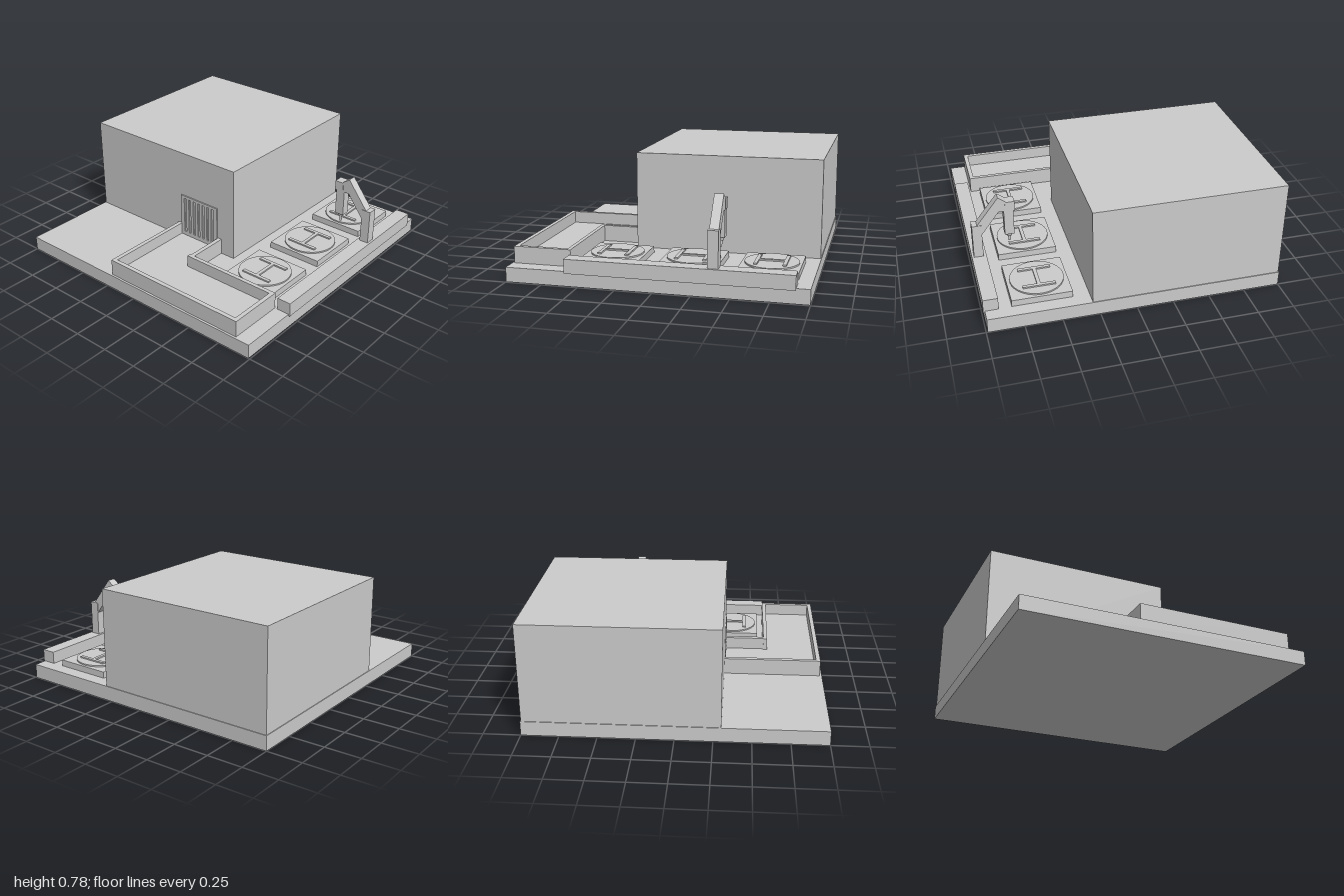
import * as THREE from 'three';

const material = new THREE.MeshStandardMaterial({ color: 0xcccccc, flatShading: true });

export function createModel() {
  const model = new THREE.Group();

  function add(name, geometry, parent = model) {
    const mesh = new THREE.Mesh(geometry, material);
    mesh.name = name;
    parent.add(mesh);
    return mesh;
  }

  // Box given by its min and max on each axis
  function box(name, x0, x1, y0, y1, z0, z1, parent = model) {
    const mesh = add(name, new THREE.BoxGeometry(x1 - x0, y1 - y0, z1 - z0), parent);
    mesh.position.set((x0 + x1) / 2, (y0 + y1) / 2, (z0 + z1) / 2);
    return mesh;
  }

  const shapeOf = (points) => new THREE.Shape(points.map(([x, y]) => new THREE.Vector2(x, y)));

  // Ground slab and main building
  box('base', -1, 0.99, 0, 0.1, -1, 1);
  box('building', -0.995, 0.3, 0.1, 0.78, -0.995, 0.302);

  // Vent door: frame with upright slots
  const door = shapeOf([[-0.18, 0.13], [0.155, 0.13], [0.155, 0.45], [-0.18, 0.45]]);
  for (let i = 0; i < 7; i++) {
    const x = -0.15 + i * 0.042;
    door.holes.push(shapeOf([[x, 0.16], [x, 0.43], [x + 0.018, 0.43], [x + 0.018, 0.16]]));
  }
  add('ventDoor', new THREE.ExtrudeGeometry(door, { depth: 0.02, bevelEnabled: false })).position.z = 0.29;

  // L-shaped yard: raised floor inside low walls
  const yard = new THREE.Group();
  yard.name = 'walledYard';
  model.add(yard);
  box('yardFloor', -0.2, 0.17, 0.1, 0.13, 0.3, 0.97, yard);
  box('yardFloorWing', 0.17, 0.86, 0.1, 0.13, 0.6, 0.97, yard);
  const top = 0.215;
  box('leftWall', -0.21, -0.18, 0.1, top, 0.3, 0.985, yard);
  box('frontWall', -0.18, 0.85, 0.1, top, 0.955, 0.985, yard);
  box('endWall', 0.85, 0.88, 0.1, top, 0.587, 0.985, yard);
  box('backWall', 0.15, 0.85, 0.1, top, 0.587, 0.615, yard);
  box('sideWall', 0.16, 0.19, 0.1, top, 0.3, 0.587, yard);

  // Three landing pads with a disc and raised bars
  for (const z of [-0.708, -0.183, 0.347]) {
    const pad = new THREE.Group();
    pad.name = 'landingPad';
    pad.position.set(0.613, 0.1, z);
    model.add(pad);
    box('padSlab', -0.202, 0.202, 0, 0.045, -0.198, 0.198, pad);
    add('padDisc', new THREE.CylinderGeometry(0.18, 0.18, 0.01, 48), pad).position.y = 0.05;
    for (const s of [-1, 1]) {
      box('padBar', -0.11, 0.11, 0.05, 0.065, s * 0.095 - 0.012, s * 0.095 + 0.012, pad);
    }
    box('padCrossbar', -0.012, 0.012, 0.05, 0.065, -0.083, 0.083, pad);
  }

  // Rail along the right edge
  box('rail', 0.9, 1, 0.088, 0.185, -0.91, 0.59);

  // Gantry arm standing on the rail
  const arm = new THREE.Group();
  arm.name = 'roboticArm';
  arm.position.z = -0.39;
  model.add(arm);
  box('post', 0.92, 0.985, 0.18, 0.43, -0.035, 0.035, arm);
  const boom = shapeOf([
    [0.92, 0.355], [0.95, 0.43], [0.8, 0.625], [0.745, 0.585], [0.74, 0.515], [0.8, 0.515],
  ]);
  add('boom', new THREE.ExtrudeGeometry(boom, { depth: 0.062, bevelEnabled: false }), arm).position.z = -0.031;
  box('elbow', 0.69, 0.755, 0.515, 0.585, -0.035, 0.035, arm);
  box('head', 0.7, 0.765, 0.33, 0.53, -0.031, 0.031, arm);
  const collar = add('collar', new THREE.CylinderGeometry(0.024, 0.018, 0.025, 16), arm);
  collar.position.set(0.732, 0.318, 0);
  const nozzle = add('nozzle', new THREE.CylinderGeometry(0.01, 0.008, 0.045, 12), arm);
  nozzle.position.set(0.732, 0.287, 0);

  return model;
}
